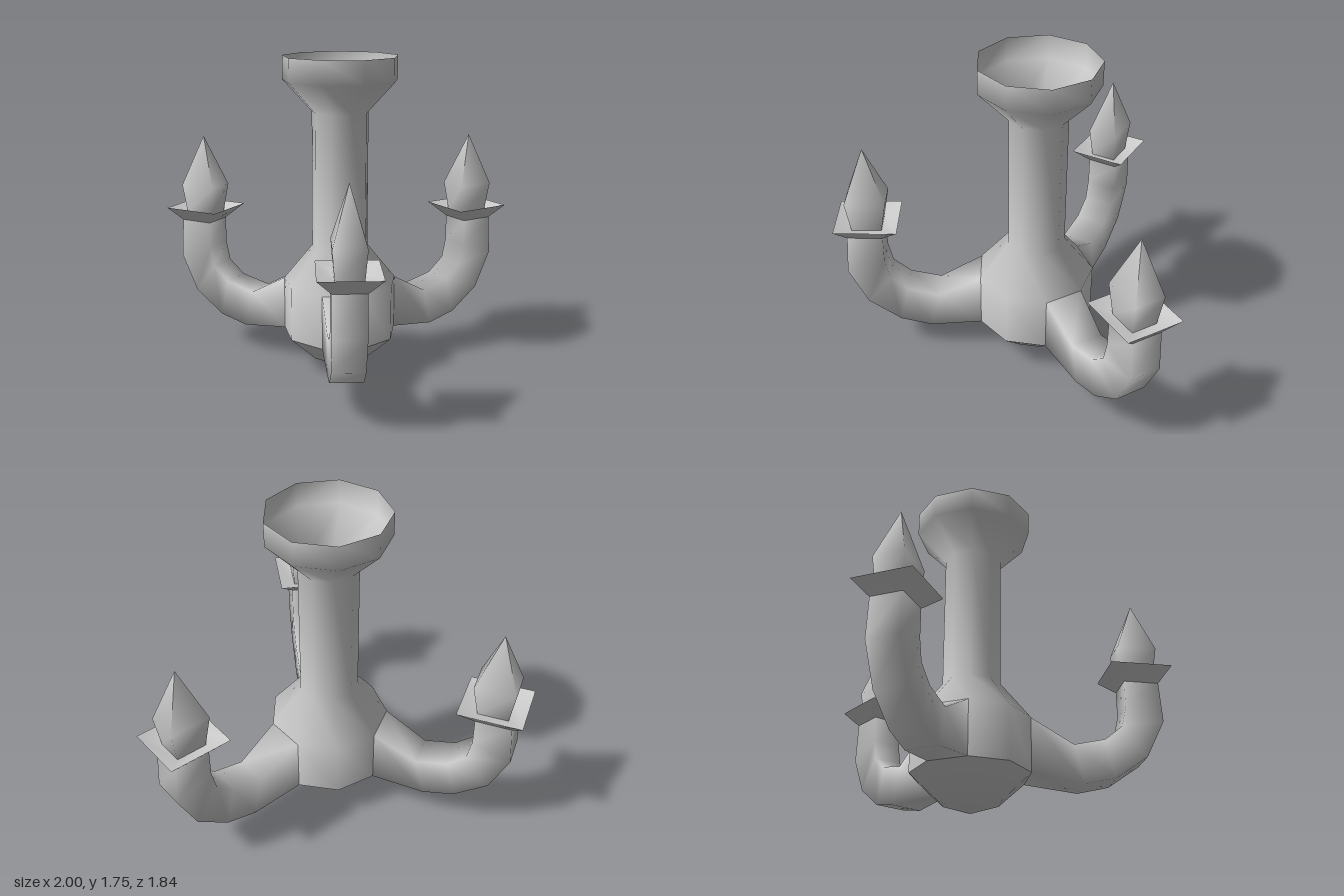
import * as THREE from 'three';

const rad = THREE.MathUtils.degToRad;
const material = new THREE.MeshStandardMaterial({ color: 0xcccccc, side: THREE.DoubleSide });

// Nine-sided turned part from a profile of [radius, height]
function turned(name, profile) {
  const points = profile.map(([r, y]) => new THREE.Vector2(r, y));
  const mesh = new THREE.Mesh(new THREE.LatheGeometry(points, 9, rad(26)), material);
  mesh.name = name;
  return mesh;
}

// Four-sided skin through sections [outer z, outer y, inner z, inner y, half width]
function loft(name, sections) {
  const positions = [], index = [];
  sections.forEach(([oz, oy, iz, iy, w], i) => {
    positions.push(-w, oy, oz, w, oy, oz, w, iy, iz, -w, iy, iz);
    if (i === 0) return;
    for (let k = 0; k < 4; k++) {
      const a = (i - 1) * 4 + k, b = (i - 1) * 4 + (k + 1) % 4;
      index.push(a, b, b + 4, a, b + 4, a + 4);
    }
  });
  const geometry = new THREE.BufferGeometry();
  geometry.setAttribute('position', new THREE.Float32BufferAttribute(positions, 3));
  geometry.setIndex(index);
  geometry.computeVertexNormals();
  const mesh = new THREE.Mesh(geometry, material);
  mesh.name = name;
  return mesh;
}

// One curved arm pointing along +z, with its drip cup and flame
function makeArm() {
  const arm = new THREE.Group();
  arm.name = 'arm';
  const neck = [1.01, 0.75, 0.82, 0.75, 0.085];
  const rim = [1.07, 0.83, 0.735, 0.83, 0.157];
  arm.add(
    loft('armBranch', [
      [0.295, 0.2, 0.295, 0.5, 0.109],
      [0.58, 0.16, 0.53, 0.37, 0.09],
      [0.75, 0.2, 0.7, 0.41, 0.087],
      [0.925, 0.325, 0.795, 0.49, 0.085],
      [1.025, 0.53, 0.82, 0.6, 0.085],
      neck,
    ]),
    loft('dripCup', [neck, rim]),
    loft('dripCupInside', [
      rim,
      [0.99, 0.79, 0.82, 0.79, 0.073],
      [0.905, 0.79, 0.905, 0.79, 0],
    ]),
    loft('flame', [
      [0.985, 0.79, 0.825, 0.79, 0.07],
      [1.01, 0.96, 0.795, 0.96, 0.083],
      [0.905, 1.25, 0.905, 1.25, 0],
    ]),
  );
  return arm;
}

export function createModel() {
  const model = new THREE.Group();
  model.name = 'chandelier';

  // Hub, stem and open ceiling cup
  model.add(turned('hubAndStem', [
    [0.318, 0.2], [0.318, 0.5], [0.157, 0.7], [0.157, 1.45], [0.318, 1.62], [0.318, 1.75],
  ]));
  // Rounded underside of the hub
  model.add(turned('hubBase', [[0, 0], [0.165, 0.06], [0.318, 0.2]]));

  // Three arms evenly spaced round the hub
  for (let i = 0; i < 3; i++) {
    const arm = makeArm();
    arm.rotation.y = rad(6 + i * 120);
    model.add(arm);
  }

  // Shift the off-centre axis so the bounds are centred
  for (const part of model.children) part.position.set(0.053, 0, -0.148);
  return model;
}
